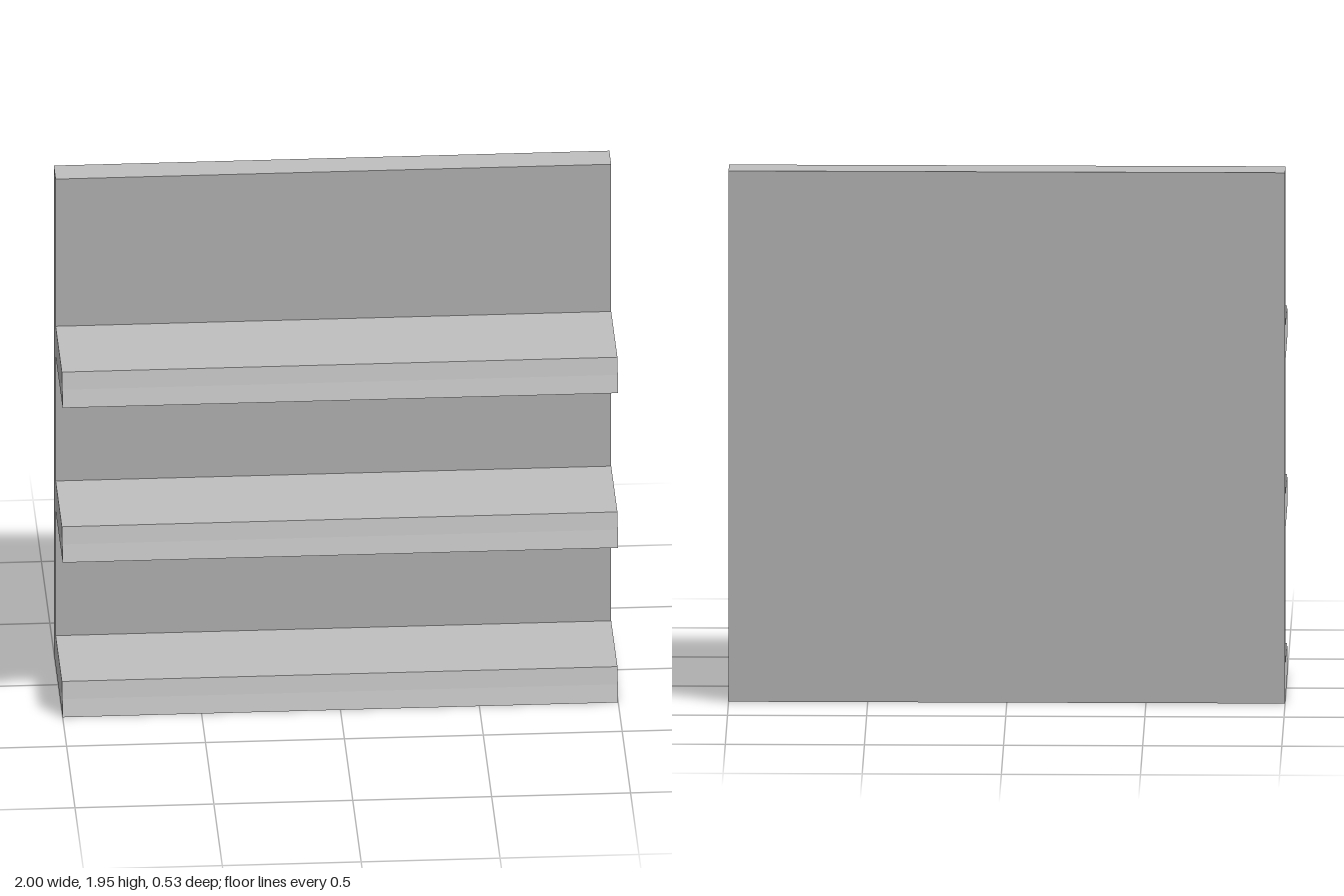
import * as THREE from 'three';

export function createModel() {
  const group = new THREE.Group();
  group.name = 'shelfUnit';
  const grey = new THREE.MeshStandardMaterial({ color: 0xc0c0c0 });
  grey.name = 'grey';

  const width = 2, height = 1.95;
  const back = -0.265, wallFront = -0.155;
  const shelfLevels = [0, 0.62, 1.24], thickness = 0.12;
  const lipBottom = 0.265, lipMiddle = 0.239, lipTop = 0.217;

  // Side profile (depth, height): back panel with three shelves in one piece
  const profile = new THREE.Shape();
  profile.moveTo(back, 0);
  for (const y of shelfLevels) {
    if (y > 0) profile.lineTo(wallFront, y);
    profile.lineTo(lipBottom, y);
    profile.lineTo(lipMiddle, y + thickness / 2); // slightly hollow bevelled lip
    profile.lineTo(lipTop, y + thickness);
    profile.lineTo(wallFront, y + thickness);
  }
  profile.lineTo(wallFront, height);
  profile.lineTo(back, height);
  profile.closePath();

  // Extrude across the width, then turn the profile's depth axis onto z
  const geometry = new THREE.ExtrudeGeometry(profile, { depth: width, bevelEnabled: false });
  geometry.translate(0, 0, -width / 2);
  geometry.rotateY(-Math.PI / 2);

  const shelves = new THREE.Mesh(geometry, grey);
  shelves.name = 'backPanelWithShelves';
  group.add(shelves);
  return group;
}
